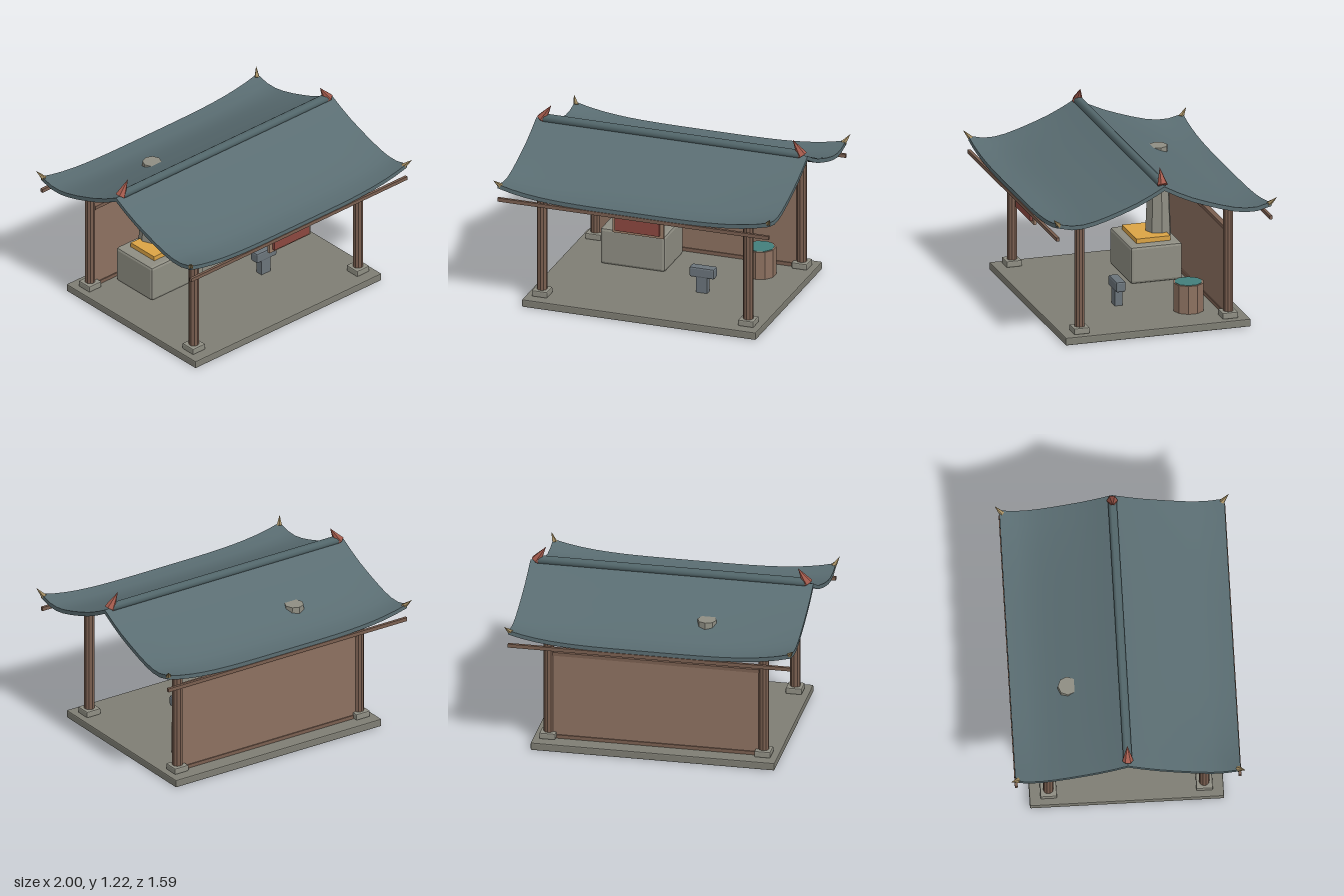
import * as THREE from 'three';
import { toCreasedNormals } from 'three/addons/utils/BufferGeometryUtils.js';
import { RoundedBoxGeometry } from 'three/addons/geometries/RoundedBoxGeometry.js';

const mat = (color, flatShading = true) => new THREE.MeshStandardMaterial({ color, flatShading });
const stone = mat(0x8f8e83), floorStone = mat(0x7f7e74), wood = mat(0x7a5f50), plank = mat(0x8d7160);
const tile = mat(0x5a6d72, false), ridgeTile = mat(0x52666a, false), red = mat(0xa35a4c), signRed = mat(0x8c4840);
const tan = mat(0xa08a60), frameWood = mat(0x9a7d68), ember = mat(0xdca445), iron = mat(0x6b747b), water = mat(0x437f7c);

// Roof slab: half profile of the top surface (z, y) and the slab's thickness
const HALF_X = 0.98, HALF_Z = 0.765, THICK = 0.03;
const PROFILE = [[0, 1.115], [0.1, 1.06], [0.2, 1.01], [0.3, 0.967], [0.4, 0.925], [0.5, 0.886],
  [0.58, 0.862], [0.66, 0.85], [HALF_Z, 0.857]];

function roofGeometry() {
  const half = PROFILE.length - 1;
  const g = new THREE.BoxGeometry(2 * HALF_X, THICK, 2, 20, 1, 2 * half);
  const p = g.attributes.position;
  for (let i = 0; i < p.count; i++) {
    const t = p.getZ(i);
    const [z, y] = PROFILE[Math.round(Math.abs(t) * half)];
    // the eaves curl upward toward the four corners
    const lift = 0.07 * (z / HALF_Z) ** 2 * Math.abs(p.getX(i) / HALF_X) ** 4;
    p.setY(i, y + lift - (p.getY(i) < 0 ? THICK : 0));
    p.setZ(i, Math.sign(t) * z);
  }
  return toCreasedNormals(g, 0.4);
}

export function createModel() {
  const model = new THREE.Group();
  model.name = 'openWorkshop';

  const add = (name, geometry, material, x = 0, y = 0, z = 0) => {
    const m = new THREE.Mesh(geometry, material);
    m.name = name;
    m.position.set(x, y, z);
    model.add(m);
    return m;
  };
  const box = (name, w, h, d, material, x, y, z) =>
    add(name, new THREE.BoxGeometry(w, h, d), material, x, y, z);
  const bevelBox = (name, w, h, d, bevel, material, x, y, z) =>
    add(name, new RoundedBoxGeometry(w, h, d, 1, bevel), material, x, y, z);
  // Cone running from a base centre to a tip
  const spike = (name, radius, sides, material, base, tip) => {
    const a = new THREE.Vector3(...base), b = new THREE.Vector3(...tip);
    const dir = b.clone().sub(a);
    const m = add(name, new THREE.ConeGeometry(radius, dir.length(), sides), material);
    m.position.copy(a).add(b).multiplyScalar(0.5);
    m.quaternion.setFromUnitVectors(new THREE.Vector3(0, 1, 0), dir.normalize());
  };

  // Floor slab
  bevelBox('floorSlab', 1.69, 0.055, 1.32, 0.008, floorStone, 0, 0.0275, 0);

  // Posts with stone footings, and upturned roof corners
  for (const sx of [-1, 1]) {
    for (const sz of [-1, 1]) {
      bevelBox('footing', 0.112, 0.045, 0.112, 0.008, stone, sx * 0.745, 0.077, sz * 0.53);
      add('post', new THREE.CylinderGeometry(0.036, 0.036, 0.765, 10), wood, sx * 0.745, 0.4775, sz * 0.53);
      spike('cornerTip', 0.02, 5, tan, [sx * 0.965, 0.91, sz * 0.748], [sx, 0.965, sz * 0.797]);
    }
    spike('ridgeFinial', 0.038, 6, red, [sx * 0.94, 1.115, 0], [sx * 0.872, 1.22, 0]);
  }

  // Back wall with rails
  box('backWall', 1.43, 0.62, 0.025, plank, 0, 0.365, -0.53);
  box('wallTopRail', 1.43, 0.025, 0.04, wood, 0, 0.68, -0.53);
  box('wallBottomRail', 1.43, 0.025, 0.04, wood, 0, 0.0675, -0.53);

  // Roof, ridge and eave beams
  add('roof', roofGeometry(), tile);
  const ridgeGeometry = toCreasedNormals(new THREE.CylinderGeometry(0.03, 0.03, 1.86, 10), 0.8);
  add('ridge', ridgeGeometry, ridgeTile, 0, 1.12, 0).rotation.z = Math.PI / 2;
  for (const sz of [-1, 1]) box('eaveBeam', 1.96, 0.026, 0.02, wood, 0, 0.815, sz * 0.76);

  // Hanging sign board
  box('signFrame', 0.37, 0.16, 0.02, frameWood, 0, 0.735, 0.665);
  box('signPanel', 0.32, 0.118, 0.02, signRed, 0, 0.736, 0.685);

  // Forge with ember bed and chimney
  bevelBox('forge', 0.47, 0.265, 0.37, 0.02, stone, -0.325, 0.1875, -0.291);
  box('emberBed', 0.32, 0.035, 0.24, ember, -0.322, 0.335, -0.291);
  add('chimney', new THREE.CylinderGeometry(0.066, 0.092, 0.635, 8), stone, -0.32, 0.6375, -0.375);

  // Anvil
  box('anvilStand', 0.08, 0.12, 0.053, iron, 0.262, 0.113, 0.107);
  bevelBox('anvilHead', 0.18, 0.075, 0.07, 0.012, iron, 0.265, 0.203, 0.107);

  // Water barrel
  add('barrel', new THREE.CylinderGeometry(0.106, 0.106, 0.2, 10), plank, 0.525, 0.155, -0.318);
  add('barrelWater', new THREE.CylinderGeometry(0.094, 0.094, 0.006, 10), water, 0.525, 0.255, -0.318);

  return model;
}
